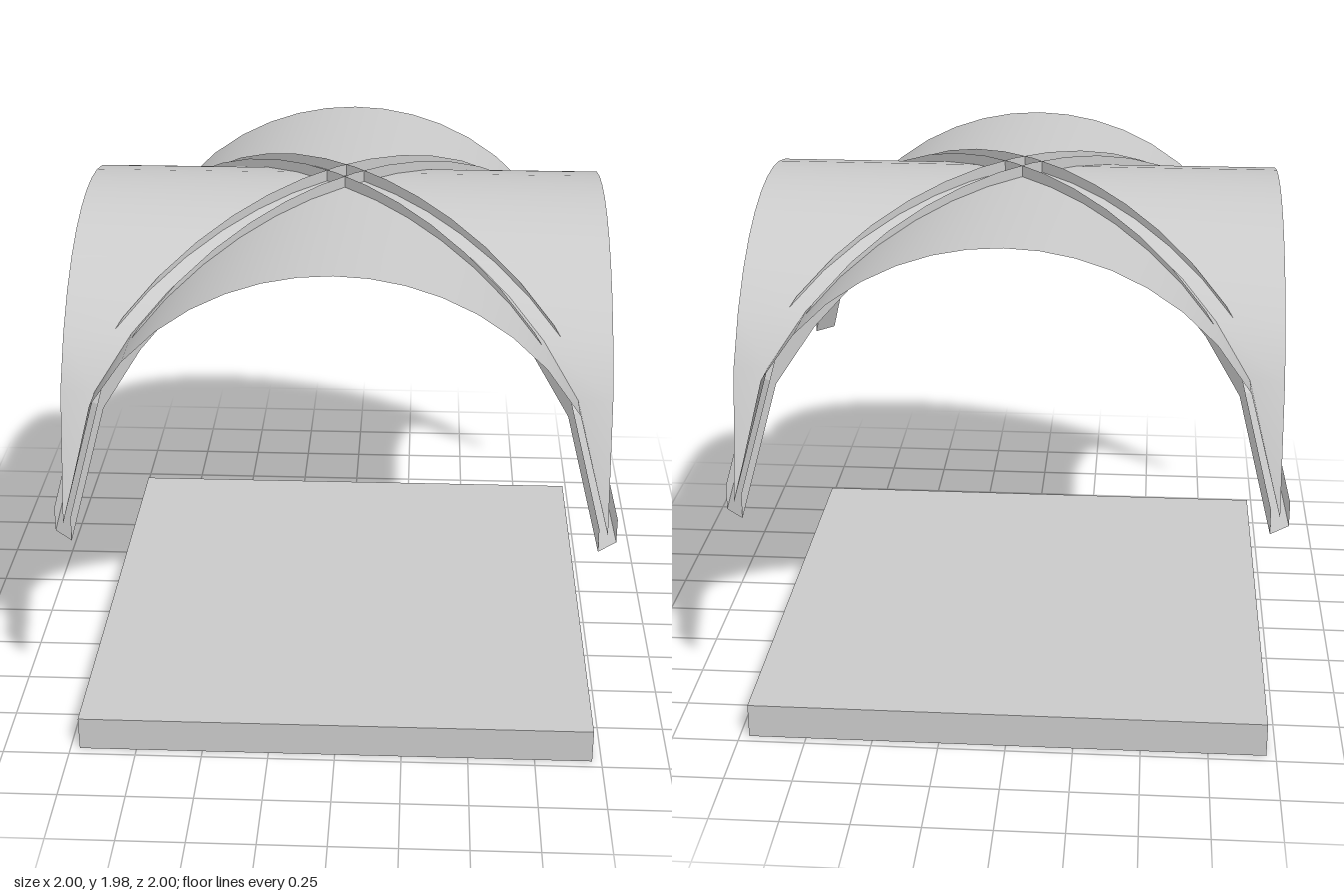
import * as THREE from 'three';

const HALF = 0.965;     // half span of the vault
const SPRING = 0.97;    // height where the arches start
const SEGMENTS = 16;

const arch = (t) => SPRING + Math.sqrt(Math.max(0, HALF * HALF - t * t));
const stations = Array.from({ length: SEGMENTS + 1 }, (_, i) => HALF * (2 * i / SEGMENTS - 1));

// Surface between two edges, given as pairs of points per station
function strip(pairAt) {
  const positions = [];
  const index = [];
  stations.forEach((t, i) => {
    const [a, b] = pairAt(t);
    positions.push(...a, ...b);
    if (i < SEGMENTS) {
      const k = 2 * i;
      index.push(k, k + 1, k + 2, k + 1, k + 3, k + 2);
    }
  });
  const geometry = new THREE.BufferGeometry();
  geometry.setAttribute('position', new THREE.Float32BufferAttribute(positions, 3));
  geometry.setIndex(index);
  geometry.computeVertexNormals();
  return geometry;
}

function addMesh(parent, name, geometry, material) {
  const mesh = new THREE.Mesh(geometry, material);
  mesh.name = name;
  parent.add(mesh);
  return mesh;
}

export function createModel() {
  const model = new THREE.Group();
  model.name = 'groinVault';
  const solid = new THREE.MeshStandardMaterial({ color: 0xcccccc });
  const shell = new THREE.MeshStandardMaterial({ color: 0xcccccc, side: THREE.DoubleSide });
  const faceted = new THREE.MeshStandardMaterial({ color: 0xcccccc, side: THREE.DoubleSide, flatShading: true });

  // Floor slab
  const floor = addMesh(model, 'floorSlab', new THREE.BoxGeometry(2 * HALF, 0.132, 2 * HALF), solid);
  floor.position.y = 0.066;

  // Four barrel webs, each running from the diagonals to an open edge
  const web = strip((t) => [[t, arch(t), Math.abs(t)], [t, arch(t), HALF]]);
  for (let i = 0; i < 4; i++) {
    addMesh(model, 'vaultWeb', web, shell).rotation.y = i * Math.PI / 2;
  }

  // Two diagonal ribs: channels open at the top and at both ends
  const w = 0.0495;
  const h = 0.045;
  const d = Math.SQRT2;
  const ribFaces = {
    ribSoffit: strip((t) => [[t * d, arch(t) - h, w], [t * d, arch(t) - h, -w]]),
    ribFrontSide: strip((t) => [[t * d, arch(t) + h, w], [t * d, arch(t) - h, w]]),
    ribBackSide: strip((t) => [[t * d, arch(t) - h, -w], [t * d, arch(t) + h, -w]]),
  };
  for (const side of [-1, 1]) {
    const rib = new THREE.Group();
    rib.name = 'diagonalRib';
    rib.rotation.y = side * Math.PI / 4;
    for (const [name, geometry] of Object.entries(ribFaces)) addMesh(rib, name, geometry, faceted);
    model.add(rib);
  }

  return model;
}
